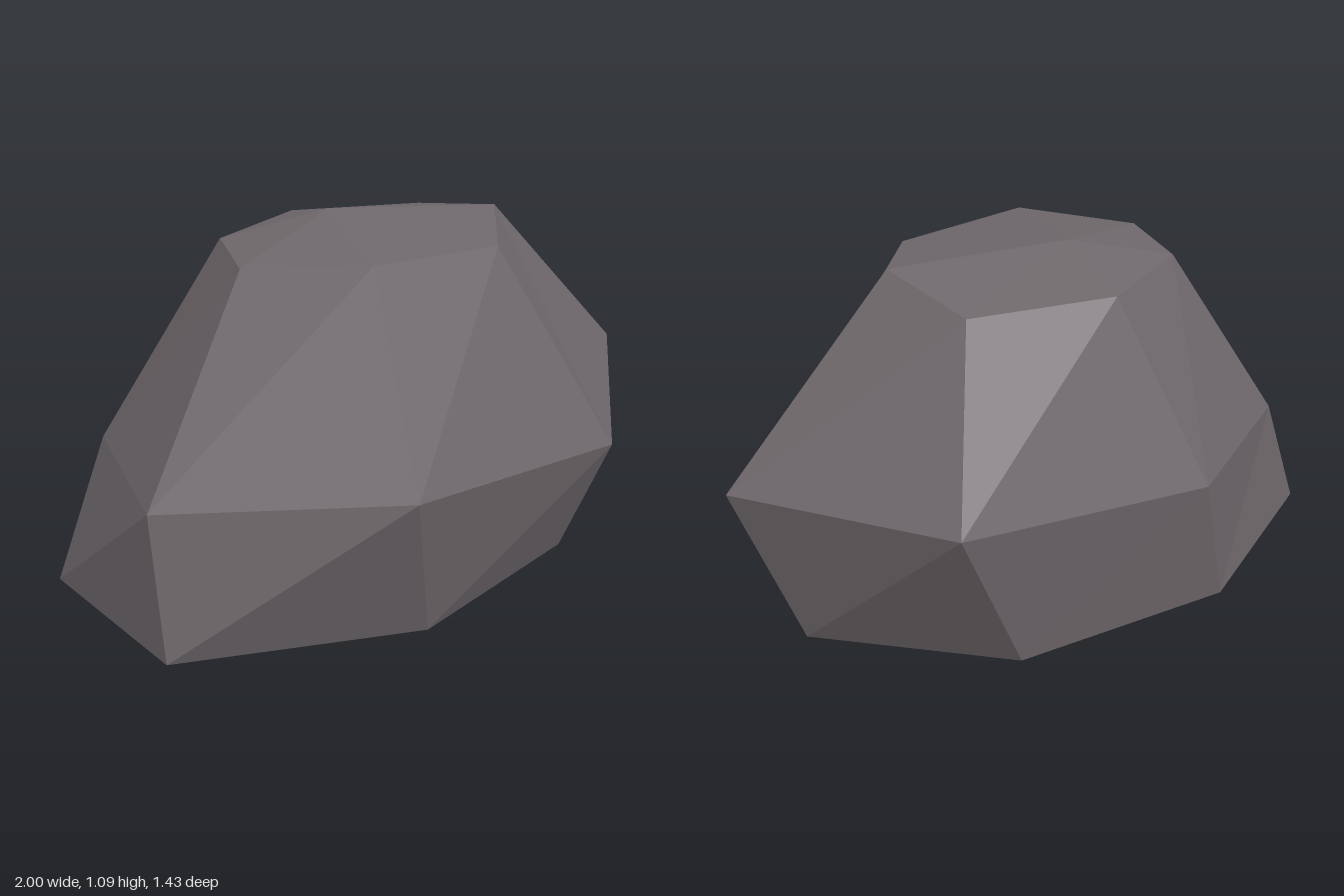
import * as THREE from 'three';

// Seven-sided rings, each going round from +x towards +z
const base = [[0.83, 0, -0.04], [0.38, 0, 0.45], [-0.31, 0, 0.59], [-1, 0, 0.275], [-1, 0, -0.37], [-0.32, 0, -0.66], [0.405, 0, -0.545]];
const middle = [[1, 0.5, 0.065], [0.43, 0.395, 0.61], [-0.455, 0.49, 0.715], [-0.98, 0.42, 0.18], [-0.8, 0.42, -0.4], [-0.17, 0.455, -0.715], [0.66, 0.52, -0.6]];
const shoulder = [[0.43, 1.06, 0.05], [0.175, 1.02, 0.335], [-0.305, 1.04, 0.335], [-0.55, 1.01, 0.03], [-0.41, 1.015, -0.29], [-0.02, 1.015, -0.455], [0.41, 1.005, -0.305]];
const peak = [-0.1, 1.09, -0.145];
const underside = [0, 0, 0];

export function createModel() {
  const rockGrey = new THREE.MeshStandardMaterial({ color: 0x6e676b });
  rockGrey.name = 'rockGrey';

  const points = [];
  const face = (a, b, c) => points.push(...a, ...b, ...c);
  // Join two rings with facets that all slant the same way
  const band = (low, high) => low.forEach((p, i) => {
    const j = (i + 1) % low.length;
    face(p, high[i], low[j]);
    face(high[i], high[j], low[j]);
  });

  band(base, middle);
  band(middle, shoulder);
  // Crown and flat underside
  shoulder.forEach((p, i) => face(p, peak, shoulder[(i + 1) % shoulder.length]));
  base.forEach((p, i) => face(underside, p, base[(i + 1) % base.length]));

  // Unshared corners give flat facets
  const geometry = new THREE.BufferGeometry();
  geometry.setAttribute('position', new THREE.Float32BufferAttribute(points, 3));
  geometry.computeVertexNormals();

  const boulder = new THREE.Mesh(geometry, rockGrey);
  boulder.name = 'boulder';
  const group = new THREE.Group();
  group.name = 'rock';
  group.add(boulder);
  return group;
}
